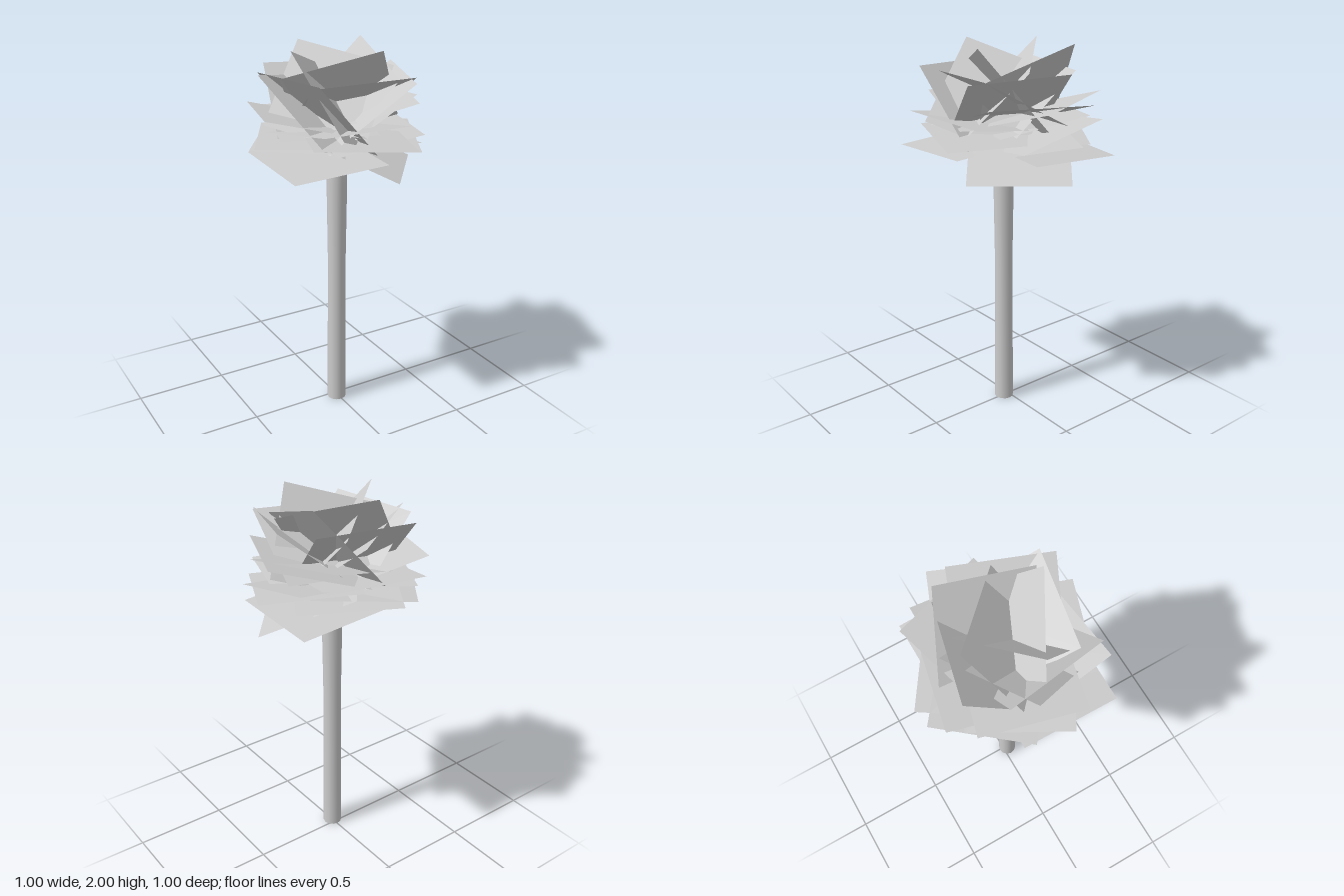
import * as THREE from 'three';

const SIZE = 0.515; // side of every square leaf card

// Each card: outer edge from (x, y, z) toward (x, y, z), then how far it falls to its inner edge
const SKIRT = [
  [0.43, 1.45, -0.345, 0.43, 1.48, 0.16, -0.04],
  [-0.43, 1.45, 0.38, -0.43, 1.48, -0.13, -0.02],
  [0.15, 1.36, 0.38, 0.46, 1.36, 0, -0.2],
  [0.18, 1.55, 0.5, -0.3, 1.58, 0.335, 0],
  [-0.04, 1.55, -0.5, 0.38, 1.52, -0.22, 0],
  [-0.5, 1.56, 0.1, -0.25, 1.56, -0.35, 0],
  [0.495, 1.55, -0.065, 0.27, 1.51, 0.39, -0.02],
  [-0.45, 1.5, -0.08, -0.2, 1.54, -0.4, 0],
  [0.405, 1.54, 0.225, 0.4, 1.64, -0.28, 0.05],
];
const MIDDLE = [
  [0.48, 1.74, -0.14, 0.305, 1.74, 0.285, 0.14],
  [-0.475, 1.71, 0.17, -0.34, 1.69, -0.32, 0.12],
  [-0.23, 1.64, -0.43, 0.27, 1.63, -0.32, 0.07],
  [0.265, 1.75, -0.39, 0.44, 1.72, 0.09, 0.14],
  [-0.29, 1.66, 0.41, 0.22, 1.64, 0.36, 0.08],
];
const CROWN = [
  [-0.25, 1.85, 0.25, 0.25, 1.87, 0.34, 0.25],
  [-0.235, 1.88, -0.335, 0.265, 1.87, -0.215, 0.36],
  [-0.28, 1.88, 0.345, -0.35, 1.87, -0.165, 0.38],
  [0.385, 1.88, -0.08, 0.24, 1.86, 0.33, 0.32],
  [-0.4, 1.88, -0.05, 0.03, 1.8, -0.3, 0.32],
  [-0.075, 2, -0.25, 0.28, 1.89, 0.095, 0.38],
  [0.11, 2, 0.27, -0.275, 1.88, 0.055, 0.4],
  [-0.275, 2, 0.055, 0.05, 1.86, -0.2, 0.4],
  [0.27, 2, -0.2, 0.2, 1.86, 0.27, 0.4],
];

// Square hung from its outer edge, running in toward the trunk axis
function leafCard([ax, ay, az, bx, by, bz, fall]) {
  const corner = new THREE.Vector3(ax, ay, az);
  const edge = new THREE.Vector3(bx, by, bz).sub(corner).normalize();
  const inward = new THREE.Vector3(-edge.z, 0, edge.x).normalize();
  const middle = corner.clone().addScaledVector(edge, SIZE / 2);
  if (inward.dot(middle) > 0) inward.negate();
  const down = new THREE.Vector3().crossVectors(edge, inward).normalize();
  if (down.y > 0) down.negate();
  const steep = fall / SIZE;
  const side = inward.multiplyScalar(Math.sqrt(1 - steep * steep)).addScaledVector(down, steep);
  const normal = new THREE.Vector3().crossVectors(edge, side);
  // keep the upper face as the front
  if (normal.y < 0) {
    corner.addScaledVector(edge, SIZE);
    edge.negate();
    normal.negate();
  }
  const geo = new THREE.PlaneGeometry(SIZE, SIZE);
  geo.translate(SIZE / 2, SIZE / 2, 0);
  geo.applyMatrix4(new THREE.Matrix4().makeBasis(edge, side, normal).setPosition(corner));
  return geo;
}

export function createModel() {
  const model = new THREE.Group();
  const material = new THREE.MeshStandardMaterial({ color: 0xcccccc, side: THREE.DoubleSide });

  // trunk: open at the bottom, swelling a little under the foliage
  const profile = [[0.052, 0], [0.05, 0.45], [0.048, 0.85], [0.054, 1.3], [0.054, 1.42], [0.046, 1.45], [0, 1.47]];
  const trunkGeo = new THREE.LatheGeometry(profile.map(([r, y]) => new THREE.Vector2(r, y)), 12);
  const trunk = new THREE.Mesh(trunkGeo, material);
  trunk.name = 'trunk';
  trunk.position.set(-0.004, 0, 0.027);
  model.add(trunk);

  // three tiers of crossing leaf cards
  const tiers = { leafSkirt: SKIRT, leafMiddle: MIDDLE, leafCrown: CROWN };
  for (const [name, cards] of Object.entries(tiers)) {
    const tier = new THREE.Group();
    tier.name = name;
    for (const card of cards) {
      const leaf = new THREE.Mesh(leafCard(card), material);
      leaf.name = 'leafCard';
      tier.add(leaf);
    }
    model.add(tier);
  }
  return model;
}
